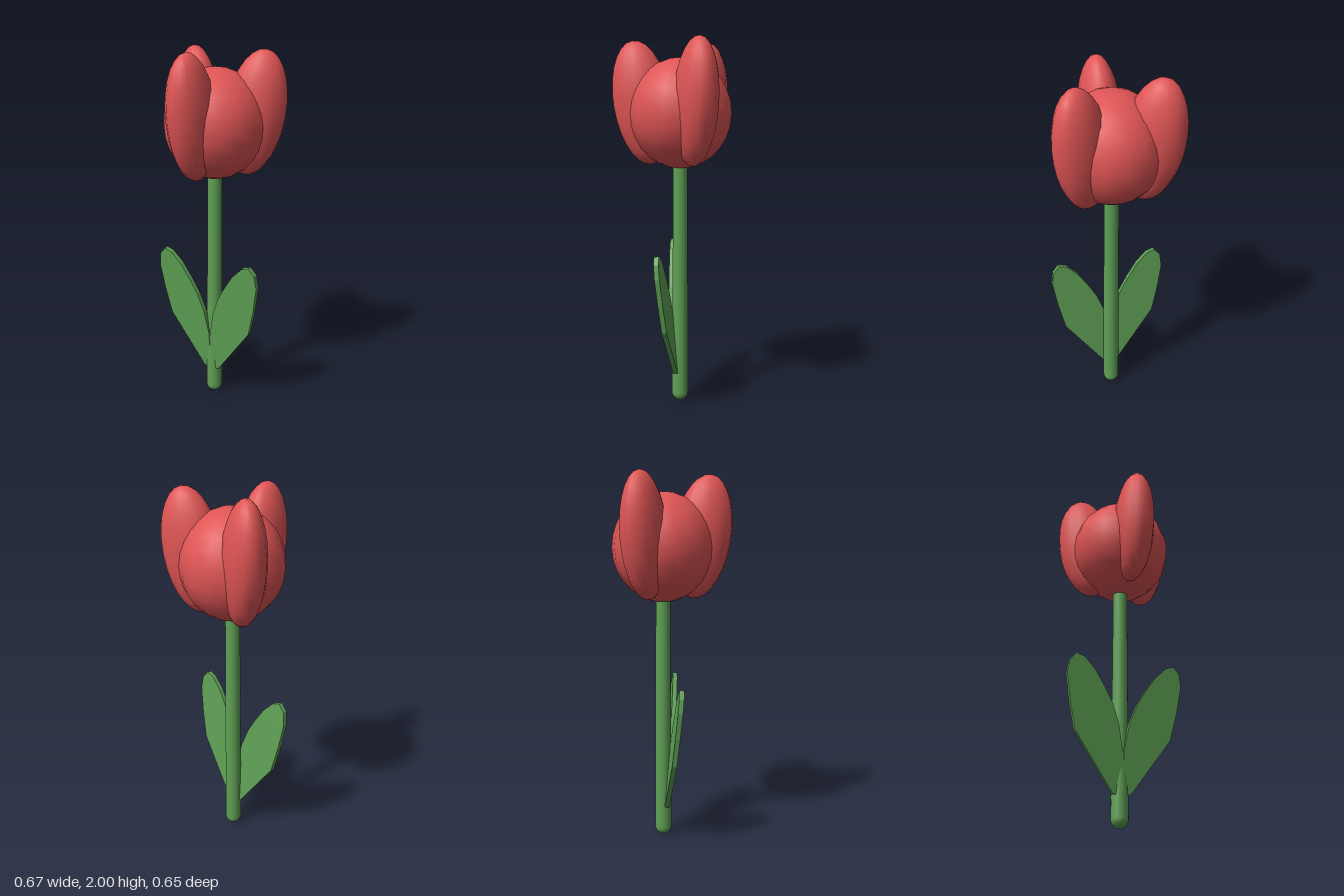
import * as THREE from 'three';

const red = new THREE.MeshStandardMaterial({ name: 'petalRed', color: 0xe05555 });
const green = new THREE.MeshStandardMaterial({ name: 'stemGreen', color: 0x5fa055 });

const AXIS_X = -0.005;
const AXIS_Z = -0.05;

function add(parent, name, geometry, material) {
  const mesh = new THREE.Mesh(geometry, material);
  mesh.name = name;
  parent.add(mesh);
  return mesh;
}

// Flat teardrop leaf; side is 1 for left (+x), -1 for right
function leafGeometry(side) {
  const outline = [
    [0, 0], [0.05, 0.02], [0.265, 0.32], [0.3, 0.47], [0.325, 0.62], [0.315, 0.695],
    [0.28, 0.735], [0.235, 0.72], [0.175, 0.66], [0.115, 0.57], [0.07, 0.49], [0.03, 0.385], [0.005, 0.25],
  ];
  const shape = new THREE.Shape(outline.map(([x, y]) => new THREE.Vector2(side * x, y)));
  const geometry = new THREE.ExtrudeGeometry(shape, { depth: 0.026, bevelEnabled: false });
  return geometry.translate(0, 0, -0.013);
}

export function createModel() {
  const tulip = new THREE.Group();
  tulip.name = 'tulip';

  // Slightly tapering stem with a rounded foot
  const profile = [];
  for (let i = 0; i <= 6; i++) {
    const a = (i / 6) * Math.PI / 2;
    profile.push(new THREE.Vector2(0.046 * Math.sin(a), 0.046 * (1 - Math.cos(a))));
  }
  profile.push(new THREE.Vector2(0.039, 1.45));
  const stem = add(tulip, 'stem', new THREE.LatheGeometry(profile, 20), green);
  stem.position.set(AXIS_X, 0, AXIS_Z);

  // Central bloom
  const bloom = new THREE.Group();
  bloom.name = 'bloom';
  bloom.position.set(AXIS_X, 0, AXIS_Z);
  tulip.add(bloom);
  const bulb = add(bloom, 'bulb', new THREE.SphereGeometry(1, 18, 14).rotateY(Math.PI / 18), red);
  bulb.scale.set(0.276, 0.295, 0.276);
  bulb.position.y = 1.615;

  // Three outer petals leaning outwards
  ['frontPetal', 'backLeftPetal', 'backRightPetal'].forEach((name, i) => {
    const pivot = new THREE.Group();
    pivot.name = name + 'Pivot';
    pivot.rotation.y = i * Math.PI * 2 / 3;
    bloom.add(pivot);
    const petal = add(pivot, name, new THREE.SphereGeometry(1, 16, 14), red);
    petal.scale.set(0.112, 0.333, 0.16);
    petal.position.set(0, 1.67, 0.21);
    petal.rotation.x = 0.156;
  });

  // Pair of leaves tilted forward
  for (const side of [1, -1]) {
    const leaf = add(tulip, side > 0 ? 'leftLeaf' : 'rightLeaf', leafGeometry(side), green);
    leaf.position.set(AXIS_X, 0.15, -0.033);
    leaf.rotation.x = 0.09;
  }

  return tulip;
}
